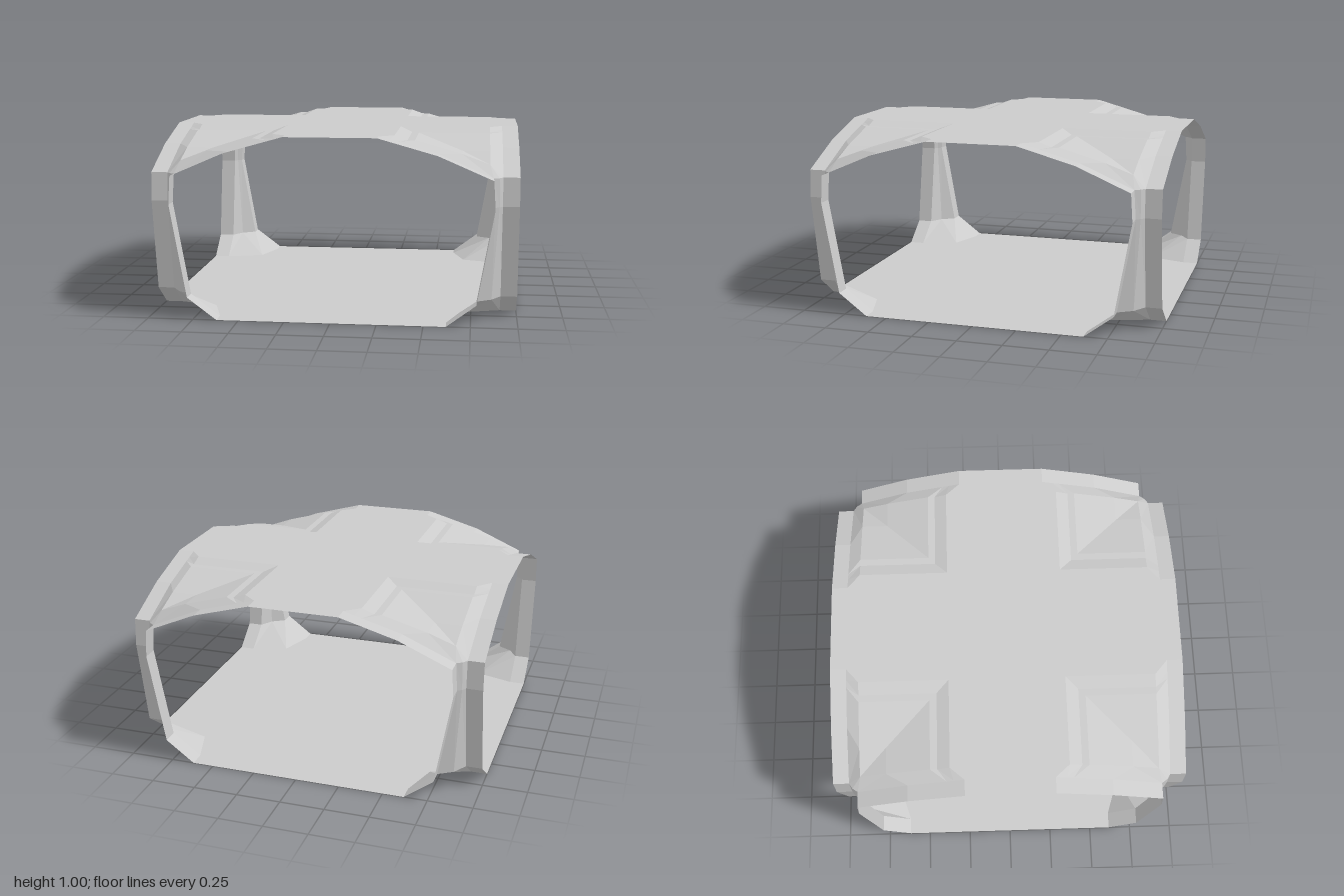
import * as THREE from 'three';

const material = new THREE.MeshStandardMaterial({ color: 0xcccccc, flatShading: true, side: THREE.DoubleSide });

// Collects triangles; faces point into the room
function surface(name, tris) {
  const geo = new THREE.BufferGeometry();
  geo.setAttribute('position', new THREE.Float32BufferAttribute(tris.flat(2), 3));
  geo.computeVertexNormals();
  const mesh = new THREE.Mesh(geo, material);
  mesh.name = name;
  return mesh;
}

// Joins neighbouring rows of points with the same count
function loft(rows) {
  const tris = [];
  for (let r = 0; r < rows.length - 1; r++) {
    const a = rows[r], b = rows[r + 1];
    for (let i = 0; i < a.length - 1; i++) {
      tris.push([a[i], b[i], a[i + 1]], [a[i + 1], b[i], b[i + 1]]);
    }
  }
  return tris;
}

// Adds the mirror image across the corner diagonal (x = z)
const swap = ([x, y, z]) => [z, y, x];
const mirrored = tris => [...tris, ...tris.map(([a, b, c]) => [swap(a), swap(c), swap(b)])];

// Flat slab whose outline repeats one corner's points four times
function slab(name, corner, y, facing) {
  const points = [];
  for (let k = 0; k < 4; k++) {
    for (const [x, z] of corner) {
      const p = new THREE.Vector2(x, z);
      points.push(p.rotateAround(new THREE.Vector2(), k * Math.PI / 2));
    }
  }
  const geo = new THREE.ShapeGeometry(new THREE.Shape(points));
  geo.rotateX(facing * Math.PI / 2);
  const mesh = new THREE.Mesh(geo, material);
  mesh.name = name;
  mesh.position.y = y;
  return mesh;
}

const RIM = 0.91;    // inner end of each opening's straight rim
const INNER = 0.84;  // where the recessed vault starts

export function createModel() {
  const model = new THREE.Group();
  model.name = 'vaultedRoom';

  // Floor and flat ceiling
  model.add(slab('floor', [[1, 0.62], [RIM, 0.62], [0.69, 0.69], [0.62, RIM], [0.62, 1]], 0, -1));
  model.add(slab('ceiling', [[1, 0.25], [RIM, 0.25], [INNER, 0.33], [0.33, 0.33],
    [0.33, INNER], [0.25, RIM], [0.25, 1]], 1, 1));

  // Corner post: height, opening half width, position of the middle crease
  const postRows = [[0, 0.62, 0.69], [0.12, 0.78, 0.86], [0.63, 0.87, 0.893], [0.785, 0.86, 0.89]]
    .map(([y, w, m]) => [[w, y, 1], [w, y, RIM], [m, y, m], [RIM, y, w], [1, y, w]]);
  const post = loft(postRows);

  // Arched rim of the openings
  const arch = [[0.25, 1], [0.31, 0.983], [0.35, 0.972], [0.57, 0.91], [0.86, 0.785]];
  const at = (profile, z) => profile.map(([x, y]) => [x, y, z]);
  const rim = mirrored(loft([at(arch, 1), at(arch, RIM)]));

  // Bevel from the rim to the recessed vault, closed above the post
  const vault = [[0.33, 1], [0.40, 0.975], [0.44, 0.975], [0.69, 0.905], [INNER, 0.85]];
  const bevel = mirrored([
    ...loft([at(arch, RIM), at(vault, INNER)]),
    [[0.86, 0.785, RIM], [INNER, 0.85, INNER], [0.89, 0.785, 0.89]],
  ]);

  // Stepped groin vault meeting on the diagonal
  const diagonal = vault.map(([x, y]) => [x, y, x]);
  const groin = mirrored(loft([at(vault, INNER), diagonal]));

  // Four identical corners
  for (let k = 0; k < 4; k++) {
    const corner = new THREE.Group();
    corner.name = 'corner' + (k + 1);
    corner.add(surface('post', post), surface('archRim', rim),
      surface('archBevel', bevel), surface('groinVault', groin));
    corner.rotation.y = k * Math.PI / 2;
    model.add(corner);
  }
  return model;
}
